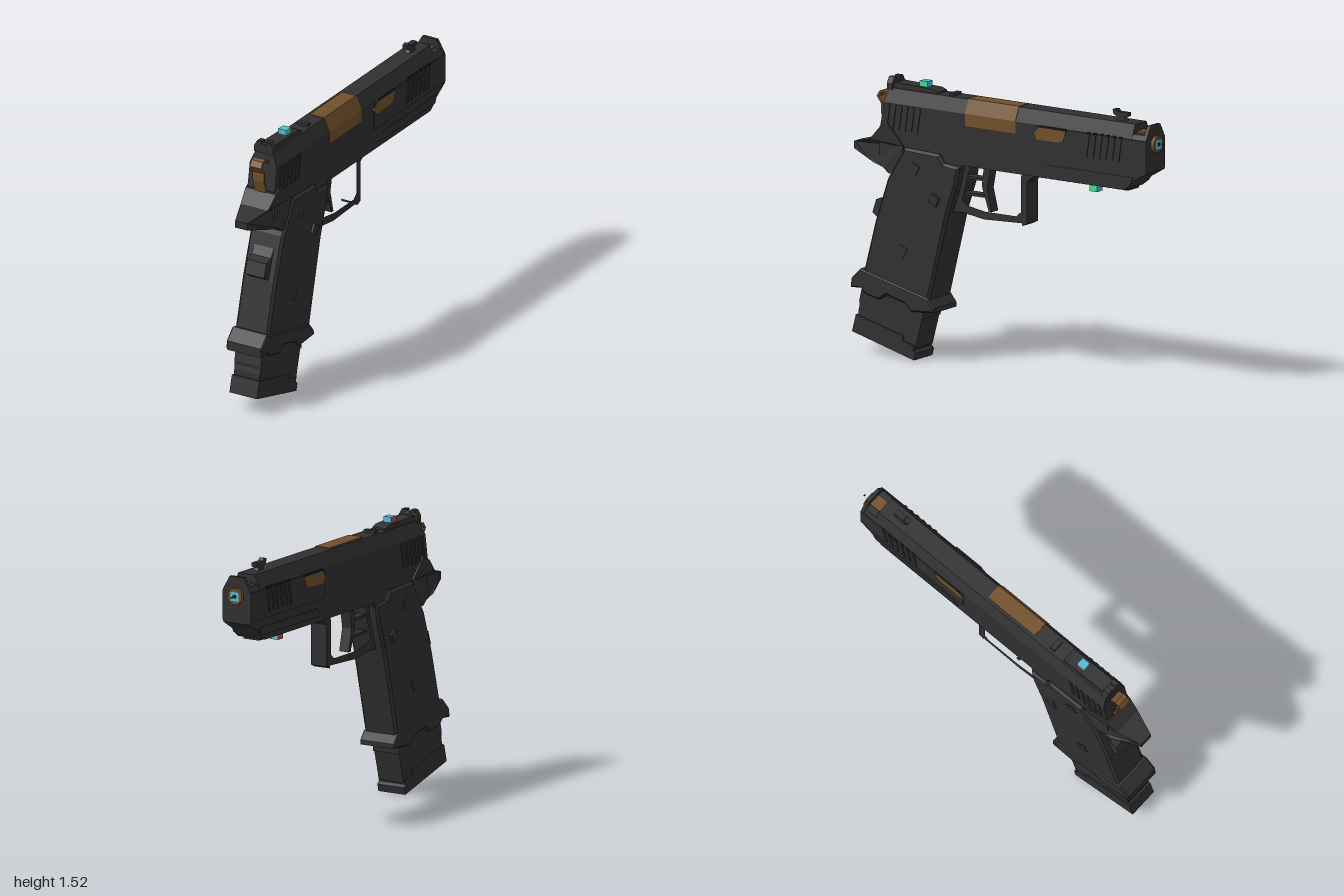
import * as THREE from 'three';

const mat = (name, color) => {
  const m = new THREE.MeshStandardMaterial({ color });
  m.name = name;
  return m;
};
const shapeOf = pts => new THREE.Shape(pts.map(p => new THREE.Vector2(p[0], p[1])));

export function createModel() {
  const body = mat('charcoal', 0x303030);
  const dark = mat('black', 0x181818);
  const bronze = mat('bronze', 0x72502a);
  const green = mat('green', 0x4bd695);
  const cyan = mat('cyan', 0x55bcd4);
  const red = mat('red', 0xc04a4a);
  const model = new THREE.Group();
  model.name = 'propPistol';

  const add = (name, geo, material) => {
    const m = new THREE.Mesh(geo, material);
    m.name = name;
    model.add(m);
    return m;
  };
  // side profile in (z, y), given total width along x
  const sideGeo = (pts, width, bevel = 0, hole = null) => {
    const s = shapeOf(pts);
    if (hole) s.holes.push(new THREE.Path(hole.map(p => new THREE.Vector2(p[0], p[1]))));
    const g = new THREE.ExtrudeGeometry(s, {
      depth: width - 2 * bevel, bevelEnabled: bevel > 0, bevelSize: bevel,
      bevelThickness: bevel, bevelOffset: -bevel, bevelSegments: 1
    });
    return g.translate(0, 0, bevel - width / 2).rotateY(-Math.PI / 2);
  };
  const side = (name, pts, width, material = body, bevel = 0, hole = null) =>
    add(name, sideGeo(pts, width, bevel, hole), material);
  // cross-section in (x, y), running from z0 to z1
  const section = (pts, z0, z1) =>
    new THREE.ExtrudeGeometry(shapeOf(pts), { depth: z1 - z0, bevelEnabled: false }).translate(0, 0, z0);
  const box = (name, x, y, z, w, h, d, material = body) =>
    add(name, new THREE.BoxGeometry(w, h, d).translate(x, y, z), material);
  // thin plate repeated on both flanks
  const plates = (name, pts, x, material = body, t = 0.008) => {
    for (const s of [-1, 1]) side(name, pts, t, material).position.x = s * x;
  };
  const diamond = (z, y, r) => [[z - r, y + r * 0.3], [z - r * 0.3, y - r], [z + r, y - r * 0.3], [z + r * 0.3, y + r]];

  // slide, with a raked rear face
  const hex = (w, top, topW) => [[-w, 1.22], [w, 1.22], [w, 1.395], [topW, top], [-topW, top], [-w, 1.395]];
  const slide = section(hex(0.085, 1.47, 0.052), -0.85, 0.76);
  const p = slide.attributes.position;
  for (let i = 0; i < p.count; i++) if (p.getZ(i) > 0.7) p.setZ(i, 0.76 + (1.47 - p.getY(i)) * 0.17);
  slide.computeVertexNormals();
  add('slide', slide, body);
  add('slideNose', section(hex(0.085, 1.42, 0.07), -0.93, -0.85), body);
  add('muzzlePlate', section(hex(0.088, 1.47, 0.045), -0.945, -0.925), body);
  add('slideForeShell', section([[-0.09, 1.23], [0.09, 1.23], [0.09, 1.39], [-0.09, 1.39]], -0.945, -0.22), body);

  // ejection opening wrapping over the top and one flank
  add('chamberHood', section([[-0.035, 1.46], [0.08, 1.33], [0.088, 1.33], [0.088, 1.397], [0.054, 1.474], [-0.035, 1.474]], -0.09, 0.24), bronze);
  // flank windows
  plates('slideWindow', [[-0.21, 1.345], [-0.255, 1.39], [-0.425, 1.385], [-0.405, 1.33], [-0.375, 1.317], [-0.235, 1.317]], 0.089, bronze);
  plates('windowShade', [[-0.24, 1.385], [-0.25, 1.395], [-0.425, 1.395], [-0.425, 1.383]], 0.0905, dark);
  // barrel
  box('barrelTop', 0, 1.4, -0.885, 0.07, 0.06, 0.08, bronze);
  const crown = new THREE.CylinderGeometry(0.047, 0.047, 0.06, 8).rotateX(Math.PI / 2).rotateZ(Math.PI / 8);
  add('barrelCrown', crown.translate(0, 1.365, -0.935), bronze);
  box('muzzleMarker', 0, 1.365, -0.963, 0.05, 0.05, 0.008, cyan);
  box('boreDot', 0, 1.365, -0.968, 0.018, 0.018, 0.004, dark);
  box('aimPoint', 0, 1.365, -0.995, 0.008, 0.008, 0.008, dark);

  // grip serrations
  for (let i = 0; i < 6; i++) {
    const f = -0.56 - i * 0.042, r = 0.55 + i * 0.04;
    plates('frontSerration', [[f, 1.26], [f + 0.016, 1.26], [f - 0.004, 1.39], [f - 0.02, 1.39]], 0.0905);
    plates('serrationNotch', [[f, 1.39], [f - 0.02, 1.39], [f - 0.02, 1.398], [f, 1.398]], 0.087, dark);
    plates('rearSerration', [[r, 1.25], [r + 0.016, 1.25], [r - 0.004, 1.39], [r - 0.02, 1.39]], 0.0855);
  }

  // frame and dust cover
  side('frame', [[0.8, 1.26], [0.8, 1.1], [0.7, 1.02], [0.3, 1.02], [0.26, 1.11], [-0.8, 1.11],
    [-0.84, 1.14], [-0.86, 1.165], [-0.945, 1.215], [-0.945, 1.24]], 0.17);
  plates('dustCoverPanel', [[-0.26, 1.15], [-0.29, 1.185], [-0.86, 1.185], [-0.84, 1.14], [-0.27, 1.14]], 0.086);
  for (let i = 0; i < 11; i++) box('railTooth', 0, 1.11, -0.245 - i * 0.054, 0.1, 0.02, 0.032);

  // trigger guard and trigger
  side('triggerGuard', [[0.36, 1.12], [0.36, 0.84], [0.28, 0.845], [0.14, 0.825], [-0.105, 0.835], [-0.11, 0.82], [-0.14, 0.835],
    [-0.14, 1.065], [-0.21, 1.12]], 0.1, body, 0,
  [[0.235, 1.095], [0.285, 0.91], [0.24, 0.885], [0.13, 0.868], [-0.07, 0.868], [-0.1, 0.895], [-0.1, 1.085], [-0.11, 1.11], [0.22, 1.11]]);
  side('trigger', [[0.155, 1.12], [0.17, 1.0], [0.125, 0.865], [0.105, 0.865], [0.135, 0.99], [0.11, 1.12]], 0.06);
  for (const y of [1.035, 0.945]) box('triggerBow', 0, y, 0.22, 0.06, 0.014, 0.13);

  // grip
  side('grip', [[0.63, 1.165], [0.4, 1.155], [0.37, 1.11], [0.27, 1.1], [0.285, 1.01], [0.345, 0.83], [0.47, 0.33],
    [0.91, 0.4], [0.82, 0.74], [0.74, 0.98]], 0.21, body, 0.014);
  side('backstrap', [[0.72, 1.02], [0.735, 0.95], [0.795, 0.865], [0.84, 0.85], [0.865, 0.775], [0.82, 0.745], [0.7, 0.75]], 0.12);
  plates('gripStud', diamond(0.425, 0.905, 0.036), 0.111, body, 0.014);
  plates('gripStud', diamond(0.56, 1.06, 0.036), 0.105);
  plates('gripStud', diamond(0.64, 0.6, 0.036), 0.105);
  side('gripFlare', [[0.91, 0.47], [0.47, 0.36], [0.43, 0.31], [0.43, 0.285], [0.58, 0.275], [0.62, 0.315], [0.74, 0.348],
    [0.79, 0.315], [0.88, 0.335], [0.91, 0.365], [0.975, 0.36], [0.97, 0.41]], 0.224, body, 0.008);

  // beavertail, narrowing toward its tip
  const tail = sideGeo([[0.74, 1.28], [0.8, 1.25], [0.865, 1.18], [1, 1.145], [1, 1.105], [0.835, 1.06], [0.77, 1.04],
    [0.735, 1.01], [0.66, 1.02], [0.64, 1.17]], 0.19);
  const tp = tail.attributes.position;
  for (let i = 0; i < tp.count; i++) {
    const k = Math.max(0, (tp.getZ(i) - 0.84) / 0.16);
    tp.setX(i, tp.getX(i) * (1 - 0.6 * k));
  }
  tail.computeVertexNormals();
  add('beavertail', tail, body);

  // magazine
  side('magazine', [[0.89, 0.42], [0.94, 0.24], [0.945, 0.17], [0.57, 0.07], [0.53, 0.22], [0.5, 0.36]], 0.16);
  side('magazineBand', [[0.92, 0.35], [0.935, 0.285], [0.93, 0.25], [0.52, 0.235], [0.51, 0.3]], 0.166);
  side('magazineBase', [[0.955, 0.21], [0.98, 0.115], [0.575, 0.005], [0.565, 0.045], [0.58, 0.06], [0.575, 0.085],
    [0.65, 0.105], [0.645, 0.13]], 0.172);

  // hammer, a bent strip with an open loop
  side('hammer', [[0.775, 1.425], [0.81, 1.448], [0.835, 1.44], [0.855, 1.41], [0.825, 1.37], [0.825, 1.32], [0.8, 1.24], [0.78, 1.24],
    [0.812, 1.32], [0.812, 1.372], [0.84, 1.41], [0.828, 1.43], [0.81, 1.436], [0.775, 1.41]], 0.07, bronze);

  // sights
  side('sightBase', [[0.77, 1.46], [0.77, 1.49], [0.72, 1.5], [0.48, 1.492], [0.45, 1.48], [0.45, 1.46]], 0.085);
  add('rearSight', section([[-0.06, 1.46], [0.06, 1.46], [0.06, 1.495], [0.04, 1.528], [0.014, 1.528], [0.014, 1.51],
    [-0.014, 1.51], [-0.014, 1.528], [-0.04, 1.528], [-0.06, 1.495]], 0.735, 0.77), body);
  box('sightStop', 0, 1.475, 0.365, 0.07, 0.02, 0.03);
  side('frontSight', [[-0.69, 1.46], [-0.71, 1.485], [-0.68, 1.5], [-0.675, 1.525], [-0.7, 1.53], [-0.71, 1.515], [-0.775, 1.515],
    [-0.775, 1.495], [-0.75, 1.485], [-0.77, 1.46]], 0.03);
  box('rearSightBead', 0, 1.515, 0.732, 0.02, 0.014, 0.006, bronze);

  // coloured marker blocks: faces in order +x, -x, +y, -y, +z, -z
  box('topMarker', 0, 1.507, 0.555, 0.05, 0.036, 0.05, [green, red, cyan, cyan, cyan, cyan]);
  box('railMarker', 0, 1.085, -0.555, 0.05, 0.05, 0.05, [green, red, cyan, cyan, cyan, cyan]);
  return model;
}
